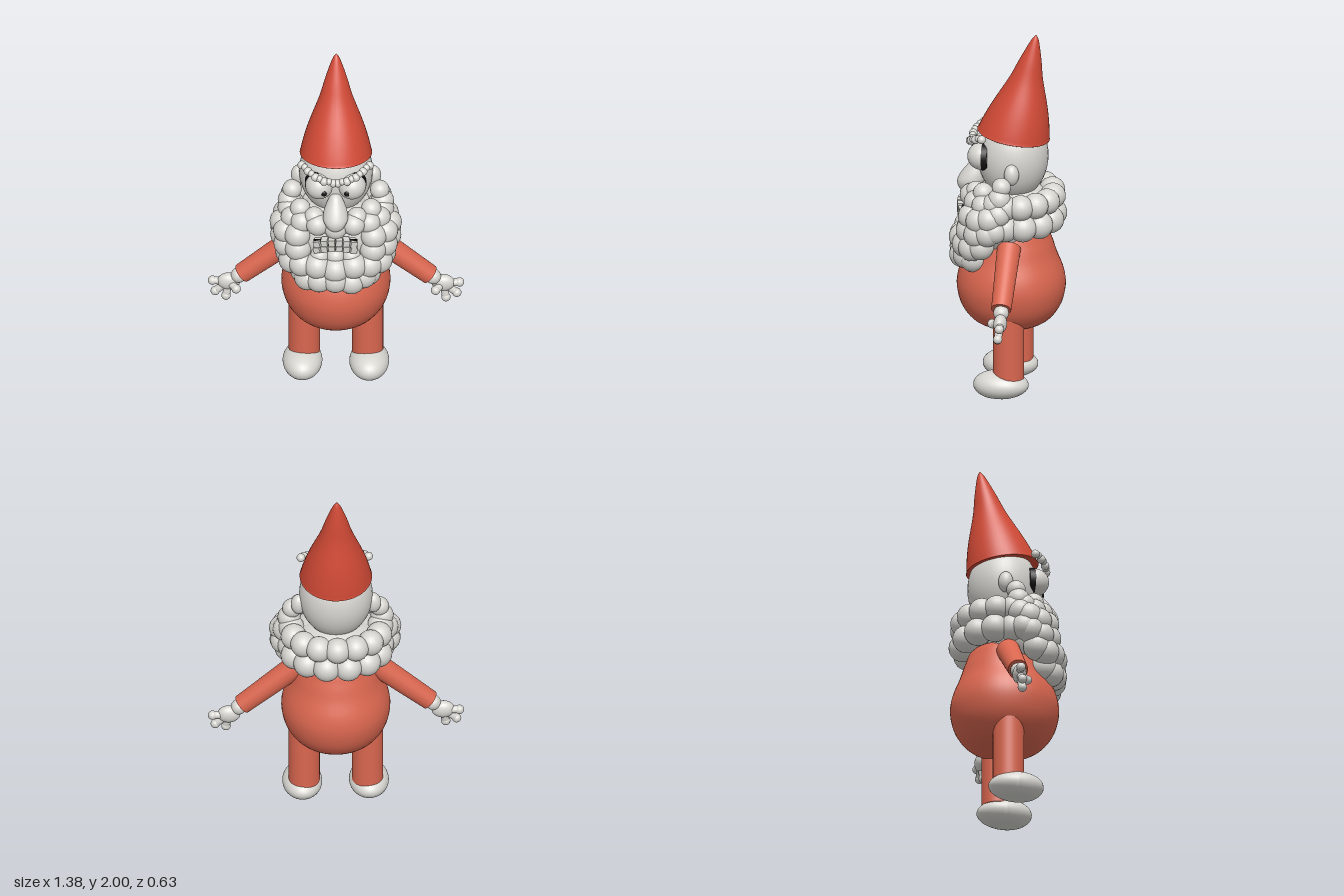
import * as THREE from 'three';

const mat = (name, color) => Object.assign(new THREE.MeshStandardMaterial({ color }), { name });
const V = (x, y, z) => new THREE.Vector3(x, y, z);

export function createModel() {
  const hatRed = mat('hat red', 0xd24a36);
  const suitRed = mat('suit red', 0xd9664f);
  const white = mat('off white', 0xd6d5d0);
  const black = mat('black', 0x141414);

  const root = new THREE.Group();
  root.name = 'gnome';
  const ballGeo = new THREE.SphereGeometry(1, 20, 14);
  const bigBallGeo = new THREE.SphereGeometry(1, 36, 24);

  const add = (parent, name, geo, material, x = 0, y = 0, z = 0) => {
    const m = new THREE.Mesh(geo, material);
    m.name = name;
    m.position.set(x, y, z);
    parent.add(m);
    return m;
  };
  const group = (name) => {
    const g = new THREE.Group();
    g.name = name;
    root.add(g);
    return g;
  };
  const ball = (parent, name, x, y, z, r) => add(parent, name, ballGeo, white, x, y, z).scale.setScalar(r);
  const blob = (parent, name, x, y, z, rx, ry, rz) => add(parent, name, bigBallGeo, white, x, y, z).scale.set(rx, ry, rz);
  // Smooth lathe through a few radius/height points
  const lathe = (pts) => new THREE.LatheGeometry(
    new THREE.SplineCurve(pts.map(([r, y]) => new THREE.Vector2(r, y))).getPoints(40)
      .map((p) => new THREE.Vector2(Math.max(p.x, 0), p.y)), 48);
  // Cylinder or capsule laid between two points
  const between = (parent, name, a, b, geo, material) => {
    const m = add(parent, name, geo, material);
    m.position.copy(a).add(b).multiplyScalar(0.5);
    m.quaternion.setFromUnitVectors(V(0, 1, 0), b.clone().sub(a).normalize());
    return m;
  };

  // Round body
  add(root, 'body', lathe([[0, 0.34], [0.1, 0.35], [0.2, 0.39], [0.265, 0.47], [0.292, 0.57],
    [0.283, 0.66], [0.245, 0.76], [0.215, 0.85], [0.17, 0.93], [0, 0.98]]), suitRed, 0, 0, -0.015);

  // Head with ears and nose
  blob(root, 'head', 0, 1.31, -0.025, 0.198, 0.24, 0.19);
  const nose = lathe([[0, 1.1], [0.04, 1.112], [0.066, 1.155], [0.062, 1.2], [0.04, 1.255], [0.022, 1.285], [0, 1.295]]);
  const np = nose.attributes.position;
  for (let i = 0; i < np.count; i++) np.setZ(i, np.getZ(i) * 1.1 + 0.2 - 0.35 * (np.getY(i) - 1.17));
  nose.computeVertexNormals();
  add(root, 'nose', nose, white);

  // Leaning hat: rings slide backward and level out toward the tip
  const hat = lathe([[0, 1.45], [0.1, 1.435], [0.186, 1.43], [0.19, 1.445], [0.172, 1.52], [0.143, 1.61],
    [0.09, 1.75], [0.058, 1.86], [0.022, 1.965], [0, 2.0]]);
  const hp = hat.attributes.position;
  for (let i = 0; i < hp.count; i++) {
    const t = THREE.MathUtils.clamp((hp.getY(i) - 1.43) / 0.57, 0, 1);
    hp.setY(i, hp.getY(i) + 0.16 * (1 - t) * hp.getZ(i));
    hp.setZ(i, hp.getZ(i) - 0.027 - 0.123 * t);
  }
  hat.computeVertexNormals();
  add(root, 'hat', hat, hatRed);

  // Beard rows: height, half width, centre z, depth, count, ball radius
  const beard = group('beard');
  blob(beard, 'beardCore', 0, 0.97, 0.04, 0.27, 0.2, 0.19);
  blob(beard, 'beardBackCore', 0, 1.03, -0.05, 0.23, 0.12, 0.2);
  const rows = [
    [0.775, 0.17, 0.17, 0.075, 7, 0.074], [0.86, 0.25, 0.12, 0.125, 9, 0.074],
    [0.945, 0.28, 0.08, 0.15, 9, 0.072], [1.025, 0.285, 0.07, 0.15, 9, 0.07],
    [1.1, 0.25, 0.05, 0.15, 9, 0.062],
  ];
  for (const [y, w, zc, d, n, r] of rows) {
    for (let i = 0; i < n; i++) {
      const a = (i / (n - 1) * 2 - 1) * 1.6;
      const x = w * Math.sin(a);
      if (y > 0.9 && y < 1.05 && Math.abs(x) < 0.14) continue; // room for the mouth
      ball(beard, 'beardCurl', x, y + 0.01 * Math.cos(i * 2.4), zc + d * Math.cos(a), r);
    }
  }
  for (const x of [-0.085, 0, 0.085]) ball(beard, 'lowerLip', x, 0.92, 0.22, 0.05);
  for (const [y, r, n] of [[1.09, 0.07, 9], [0.975, 0.075, 8]]) {
    for (let i = 0; i < n; i++) {
      const a = (i / (n - 1) * 2 - 1) * 1.7;
      ball(beard, 'backCurl', 0.24 * Math.sin(a), y, -0.04 - 0.2 * Math.cos(a), r);
    }
  }

  // Mouth with two arched rows of teeth
  const mouth = group('mouth');
  add(mouth, 'mouthGap', new THREE.BoxGeometry(0.235, 0.07, 0.008), black, 0, 1.005, 0.236);
  const toothGeo = new THREE.BoxGeometry(0.035, 0.035, 0.045);
  for (let i = 0; i < 6; i++) {
    const x = (i - 2.5) * 0.038;
    for (const dy of [-0.019, 0.019]) {
      const tooth = add(mouth, 'tooth', toothGeo, white, x, 1.022 - 2.6 * x * x + dy, 0.252 - 2 * x * x);
      tooth.rotation.set(0, x * 3, -x * 2.5);
    }
  }

  // Soft shoe: rounded block flattened on the ground
  const shoeGeo = new THREE.SphereGeometry(1, 32, 24);
  const sp = shoeGeo.attributes.position;
  for (let i = 0; i < sp.count; i++) {
    const z = sp.getZ(i);
    sp.setXYZ(i, sp.getX(i) * 0.107, Math.max(0, 0.066 + sp.getY(i) * (0.077 + 0.006 * z)), z * 0.15 + 0.015);
  }
  shoeGeo.computeVertexNormals();

  const eyeRim = new THREE.CylinderGeometry(0.077, 0.077, 0.032, 36).rotateX(Math.PI / 2);
  const sleeve = new THREE.CylinderGeometry(0.064, 0.054, 0.385, 32);
  const legGeo = new THREE.CylinderGeometry(0.084, 0.084, 0.36, 32);

  for (const s of [1, -1]) {
    const side = s > 0 ? 'left' : 'right';
    blob(root, side + 'Ear', s * 0.2, 1.265, -0.045, 0.042, 0.058, 0.04);

    // Bulging eye with dark rim and pupil
    const eye = group(side + 'Eye');
    blob(eye, 'eyeball', s * 0.088, 1.327, 0.132, 0.075, 0.075, 0.078);
    add(eye, 'eyeRim', eyeRim, black, s * 0.088, 1.327, 0.112);
    add(eye, 'pupil', ballGeo, black, s * 0.062, 1.321, 0.203).scale.set(0.016, 0.016, 0.008);

    // Slanted brow of small curls
    const brow = group(side + 'Eyebrow');
    const browCurve = new THREE.CatmullRomCurve3([V(s * 0.012, 1.388, 0.195), V(s * 0.06, 1.402, 0.2),
      V(s * 0.12, 1.425, 0.18), V(s * 0.165, 1.447, 0.14), V(s * 0.182, 1.452, 0.12)]);
    browCurve.getSpacedPoints(8).forEach((p, i) =>
      ball(brow, 'browCurl', p.x, p.y + 0.005 * (i % 2), p.z, i % 2 ? 0.019 : 0.023));

    // Sideburn and cheek curls
    for (const [x, y, z, r] of [[0.235, 1.205, 0.005, 0.052], [0.25, 1.14, 0.015, 0.062], [0.27, 1.06, 0.02, 0.068],
      [0.28, 0.97, 0.04, 0.07], [0.19, 1.155, 0.11, 0.055], [0.115, 1.135, 0.16, 0.055]]) {
      ball(beard, 'sideburnCurl', s * x, y, z, r);
    }

    // Arm and open hand
    const arm = group(side + 'Arm');
    between(arm, 'sleeve', V(s * 0.505, 0.607, -0.033), V(s * 0.21, 0.855, -0.033), sleeve, suitRed).rotateX(Math.PI);
    arm.children[0].rotateX(Math.PI);
    arm.children[0].scale.y = -1; // wide end at the shoulder
    arm.children[0].scale.set(1, 1, 1);
    ball(arm, 'wrist', s * 0.522, 0.593, -0.035, 0.042);
    const palm = blob(arm, 'palm', s * 0.575, 0.55, -0.038, 0.062, 0.05, 0.036);
    const fingers = [[0.663, 0.549, -0.045], [0.648, 0.487, -0.035], [0.59, 0.464, -0.025], [0.535, 0.535, 0.012]];
    for (const [x, y, z] of fingers) {
      const a = V(s * 0.575, 0.55, -0.038), b = V(s * x, y, z);
      between(arm, 'finger', a, b, new THREE.CapsuleGeometry(0.021, a.distanceTo(b), 6, 14), white);
      ball(arm, 'fingertip', s * x, y, z, 0.025);
    }

    // Leg and shoe
    add(root, side + 'Leg', legGeo, suitRed, s * 0.17, 0.28, -0.025);
    add(root, side + 'Shoe', shoeGeo, white, s * 0.179, 0, 0);
  }
  return root;
}
